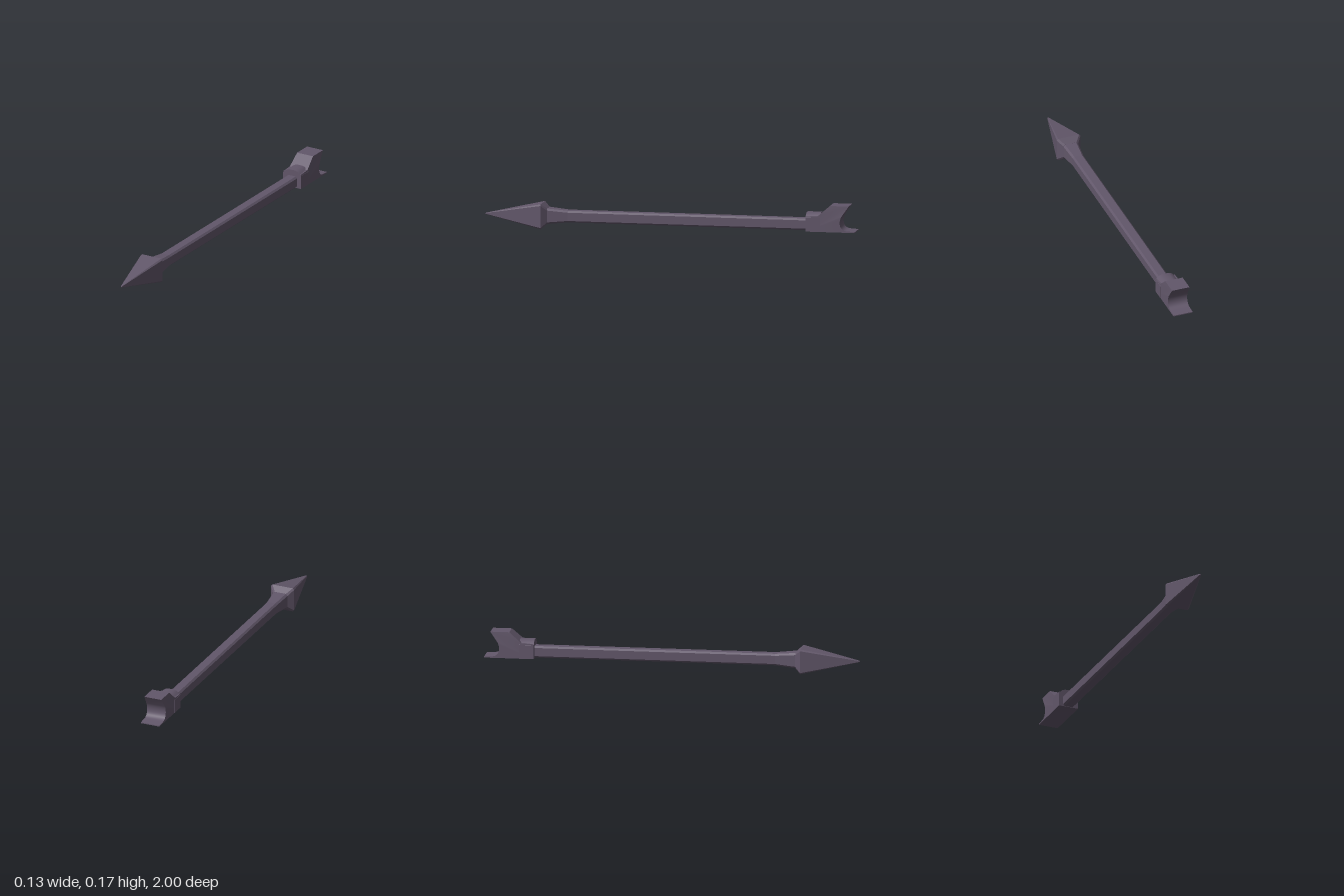
import * as THREE from 'three';
import { toCreasedNormals } from 'three/addons/utils/BufferGeometryUtils.js';

const AXIS_Y = 0.0675;

// Chamfered square cross-section, counter-clockwise seen from +z
function section([z, h, c]) {
  const k = h - c;
  return [[h, -k], [h, k], [k, h], [-k, h], [-h, k], [-h, -k], [-k, -h], [k, -h]]
    .map(([x, y]) => new THREE.Vector3(x, y + AXIS_Y, z));
}

// Faceted loft through [z, half width, chamfer] stations with z ascending
function loft(stations) {
  const rings = stations.map(section);
  const pts = [];
  for (let s = 0; s < rings.length - 1; s++) {
    for (let i = 0; i < 8; i++) {
      const j = (i + 1) % 8;
      const a = rings[s][i], b = rings[s][j], c = rings[s + 1][j], d = rings[s + 1][i];
      pts.push(a, b, c, a, c, d);
    }
  }
  // end caps
  const first = rings[0], last = rings[rings.length - 1];
  for (let i = 1; i < 7; i++) {
    pts.push(first[0], first[i + 1], first[i]);
    pts.push(last[0], last[i], last[i + 1]);
  }
  const geo = new THREE.BufferGeometry().setFromPoints(pts);
  geo.computeVertexNormals();
  return geo;
}

export function createModel() {
  const group = new THREE.Group();
  const metal = new THREE.MeshStandardMaterial({ color: 0x62576a });
  metal.name = 'dark purple grey';
  const add = (name, geo) => {
    const mesh = new THREE.Mesh(geo, metal);
    mesh.name = name;
    group.add(mesh);
  };

  // Long shaft flaring into the neck behind the point
  add('shaft', loft([[-0.76, 0.031, 0.009], [0.55, 0.031, 0.009], [0.665, 0.042, 0.01]]));

  // Pyramid point with bevelled corners
  add('arrowhead', loft([[0.66, 0.042, 0.01], [0.69, 0.067, 0.008], [0.995, 0.004, 0.0015], [1, 0.001, 0.0004]]));

  // Notched tail: side profile in (z, y), extruded across x
  const profile = new THREE.Shape();
  profile.moveTo(-0.735, 0.034);
  profile.lineTo(-0.735, 0.114);
  profile.lineTo(-0.8, 0.118);
  profile.lineTo(-0.865, 0.174);
  profile.lineTo(-0.966, 0.174);
  profile.lineTo(-0.93, 0.122);
  profile.bezierCurveTo(-0.912, 0.095, -0.912, 0.045, -0.955, 0.042);
  profile.lineTo(-1, 0.039);
  profile.lineTo(-1, 0.034);
  const tail = new THREE.ExtrudeGeometry(profile, { depth: 0.108, bevelEnabled: false, curveSegments: 10 });
  tail.translate(0, 0, -0.054).rotateY(-Math.PI / 2);
  // Sides lean inward towards the top
  const pos = tail.attributes.position;
  for (let i = 0; i < pos.count; i++) {
    const t = Math.max(0, (pos.getY(i) - 0.118) / 0.056);
    pos.setX(i, pos.getX(i) * (1 - 0.09 * t));
  }
  add('tail', toCreasedNormals(tail, 0.6));

  // Arched collar where the shaft enters the tail
  const arch = new THREE.Shape();
  arch.moveTo(-0.055, 0.034);
  arch.lineTo(0.055, 0.034);
  arch.lineTo(0.055, 0.108);
  arch.lineTo(0.035, 0.126);
  arch.lineTo(0.018, 0.132);
  arch.lineTo(-0.018, 0.132);
  arch.lineTo(-0.035, 0.126);
  arch.lineTo(-0.055, 0.108);
  const collar = new THREE.ExtrudeGeometry(arch, { depth: 0.078, bevelEnabled: false });
  collar.translate(0, 0, -0.812);
  add('collar', toCreasedNormals(collar, 0.6));

  return group;
}
